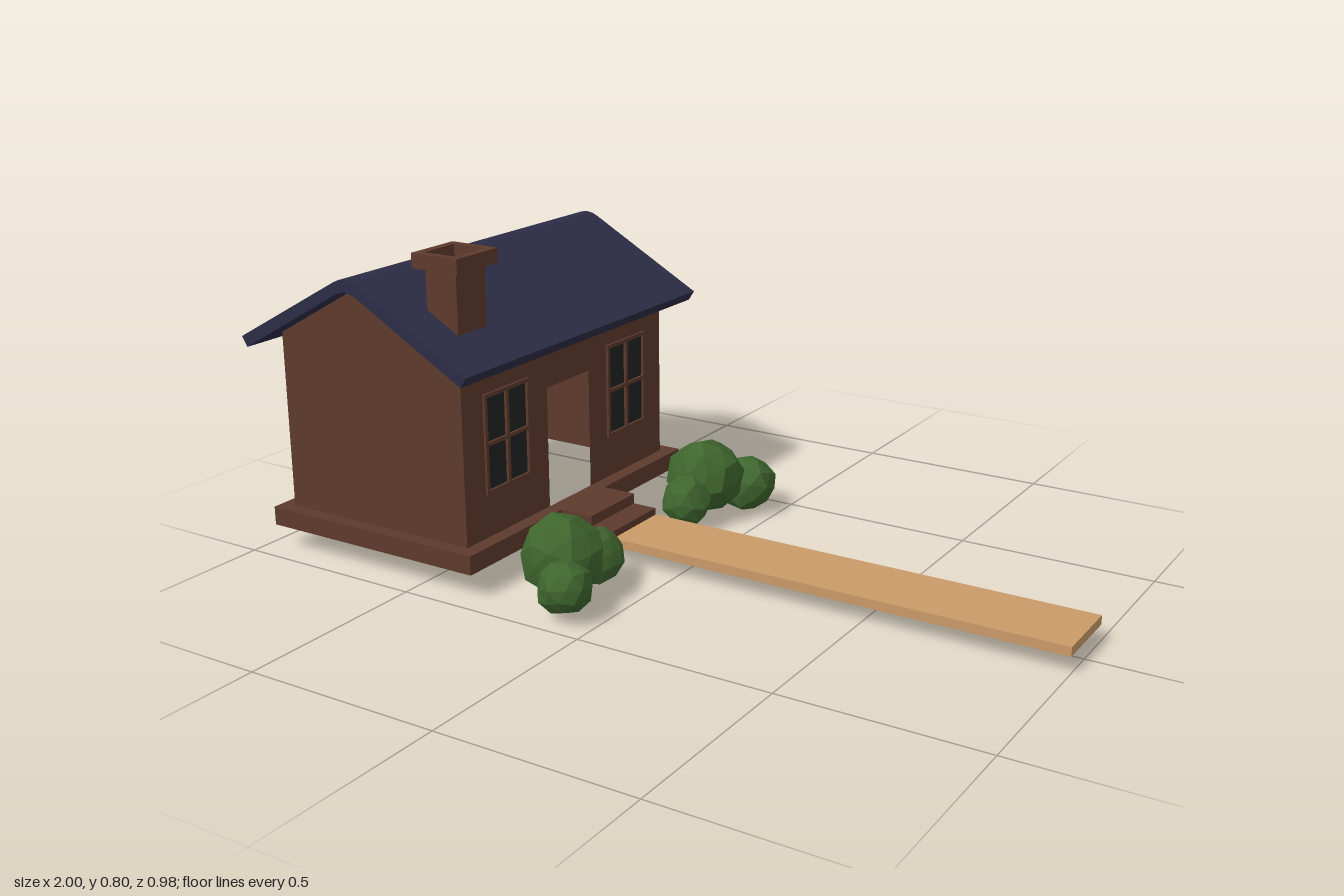
import * as THREE from 'three';

const flat = (name, color, opts = {}) => Object.assign(new THREE.MeshStandardMaterial({ color, flatShading: true, ...opts }), { name });
const brown = flat('brown wood', 0x5d3a2d, { side: THREE.DoubleSide });
const navy = flat('navy roof', 0x2c2c46, { side: THREE.DoubleSide });
const tan = flat('tan path', 0xcb9b68);
const green = flat('green leaves', 0x3f662e);
const dark = flat('dark glass', 0x222424, { side: THREE.DoubleSide });

const WALL = { x0: -0.93, x1: -0.375, z0: -0.425, z1: 0.417 };
const BASE = { x0: -0.965, x1: -0.337, z0: -0.462, z1: 0.454 };
const BASE_TOP = 0.11, BASE_BOTTOM = 0.062, MID = -0.652;

function add(parent, name, geometry, material) {
  const mesh = new THREE.Mesh(geometry, material);
  mesh.name = name;
  parent.add(mesh);
  return mesh;
}

// Box given by its extents
function box(parent, name, material, x0, x1, y0, y1, z0, z1) {
  const g = new THREE.BoxGeometry(x1 - x0, y1 - y0, z1 - z0);
  g.translate((x0 + x1) / 2, (y0 + y1) / 2, (z0 + z1) / 2);
  return add(parent, name, g, material);
}

const poly = (points, Type = THREE.Shape) => new Type(points.map(p => new THREE.Vector2(...p)));
const rect = (a0, a1, b0, b1, Type) => poly([[a0, b0], [a1, b0], [a1, b1], [a0, b1]], Type);

// Horizontal rectangular ring with a hole, between two heights
function ring(parent, name, outer, inner, y0, y1) {
  const s = rect(outer.x0, outer.x1, outer.z0, outer.z1);
  s.holes.push(rect(inner.x0, inner.x1, inner.z0, inner.z1, THREE.Path));
  const g = new THREE.ExtrudeGeometry(s, { depth: y1 - y0, bevelEnabled: false });
  g.rotateX(Math.PI / 2).translate(0, y1, 0);
  return add(parent, name, g, brown);
}

const grow = (r, d) => ({ x0: r.x0 - d, x1: r.x1 + d, z0: r.z0 - d, z1: r.z1 + d });

// Lumpy low-poly ball; equal positions get equal offsets so it stays closed
function blob(parent, x, y, z, r, seed) {
  const g = new THREE.IcosahedronGeometry(1, 1);
  const p = g.attributes.position, v = new THREE.Vector3();
  for (let i = 0; i < p.count; i++) {
    v.fromBufferAttribute(p, i);
    const k = Math.sin(v.x * 5.1 + seed) + Math.sin(v.y * 6.3 + seed * 2.3) + Math.sin(v.z * 5.7 + seed * 3.1);
    v.multiplyScalar(r * (1 + 0.035 * k));
    p.setXYZ(i, v.x, v.y, v.z);
  }
  g.rotateY(seed).rotateX(seed * 0.6);
  g.computeVertexNormals();
  add(parent, 'bushClump', g, green).position.set(x, y, z);
}

function createWalls(house) {
  // Gable ends
  const gable = poly([[WALL.x0, BASE_TOP], [WALL.x1, BASE_TOP], [WALL.x1, 0.575], [MID, 0.718], [WALL.x0, 0.575]]);
  for (const z of [WALL.z0, WALL.z1]) {
    add(house, 'gableWall', new THREE.ShapeGeometry(gable).translate(0, 0, z), brown);
  }
  // Long walls, the entrance side has a door opening and window holes
  const back = rect(-WALL.z1, -WALL.z0, BASE_TOP, 0.575);
  const front = poly([[-WALL.z1, BASE_TOP], [-0.087, BASE_TOP], [-0.087, 0.422], [0.092, 0.422],
    [0.092, BASE_TOP], [-WALL.z0, BASE_TOP], [-WALL.z0, 0.575], [-WALL.z1, 0.575]]);
  const windows = [0.251, -0.259];
  for (const z of windows) front.holes.push(rect(-z - 0.08, -z + 0.08, 0.228, 0.461, THREE.Path));
  add(house, 'backWall', new THREE.ShapeGeometry(back).rotateY(Math.PI / 2).translate(WALL.x0, 0, 0), brown);
  add(house, 'entranceWall', new THREE.ShapeGeometry(front).rotateY(Math.PI / 2).translate(WALL.x1, 0, 0), brown);

  // Windows: frame with four panes
  for (const z of windows) {
    const win = new THREE.Group();
    win.name = 'window';
    const s = rect(-0.088, 0.088, 0.22, 0.47);
    for (const a of [-0.078, 0.005]) {
      for (const b of [0.229, 0.349]) s.holes.push(rect(a, a + 0.073, b, b + 0.111, THREE.Path));
    }
    const g = new THREE.ExtrudeGeometry(s, { depth: 0.014, bevelEnabled: false });
    add(win, 'windowFrame', g.rotateY(Math.PI / 2).translate(WALL.x1 - 0.008, 0, 0), brown);
    box(win, 'windowGlass', dark, WALL.x1 - 0.005, WALL.x1 - 0.001, 0.225, 0.465, -0.083, 0.083);
    win.position.z = z;
    house.add(win);
  }
}

function createRoof(house) {
  // Bent roof slab with a softened ridge
  const half = [[0.348, 0.557], [0.034, 0.731], [0.018, 0.738]];
  const under = [[0.332, 0.532], [0.03, 0.702]];
  const pts = [
    ...half.map(([x, y]) => [MID + x, y]), [MID, 0.741],
    ...half.slice().reverse().map(([x, y]) => [MID - x, y]),
    ...under.map(([x, y]) => [MID - x, y]), [MID, 0.711],
    ...under.slice().reverse().map(([x, y]) => [MID + x, y]),
  ];
  const g = new THREE.ExtrudeGeometry(poly(pts), { depth: 0.973, bevelEnabled: false });
  add(house, 'roof', g.translate(0, 0, -0.49), navy);

  // Chimney with a hollow cap
  const shaft = { x0: -0.5, x1: -0.41, z0: 0.268, z1: 0.374 };
  box(house, 'chimneyShaft', brown, shaft.x0, shaft.x1, 0.6, 0.772, shaft.z0, shaft.z1);
  ring(house, 'chimneyCap', grow(shaft, 0.022), shaft, 0.767, 0.803);
}

export function createModel() {
  const model = new THREE.Group();
  model.name = 'cottage';
  const house = new THREE.Group();
  house.name = 'house';
  model.add(house);

  // Open-bottomed base: ledge around the walls and a skirt
  ring(house, 'baseLedge', BASE, WALL, BASE_TOP - 0.003, BASE_TOP);
  ring(house, 'baseSkirt', BASE, grow(BASE, -0.004), BASE_BOTTOM, BASE_TOP - 0.003);
  createWalls(house);
  createRoof(house);

  // Steps and path
  box(model, 'upperStep', brown, BASE.x1, -0.245, BASE_BOTTOM, BASE_TOP, -0.101, 0.09);
  box(model, 'lowerStep', brown, -0.245, -0.18, BASE_BOTTOM, 0.083, -0.101, 0.09);
  box(model, 'path', tan, -0.2, 1, 0.042, 0.065, -0.103, 0.09);

  // Bushes either side of the path
  const bushes = [
    [[-0.15, 0.117, 0.342, 0.1], [-0.085, 0.08, 0.425, 0.066], [-0.145, 0.072, 0.217, 0.069]],
    [[-0.15, 0.117, -0.3, 0.1], [-0.145, 0.08, -0.2, 0.065], [-0.085, 0.075, -0.405, 0.075]],
  ];
  bushes.forEach((clumps, i) => {
    const bush = new THREE.Group();
    bush.name = 'bush';
    clumps.forEach((c, j) => blob(bush, ...c, 1 + i * 3.7 + j * 1.3));
    model.add(bush);
  });
  return model;
}
